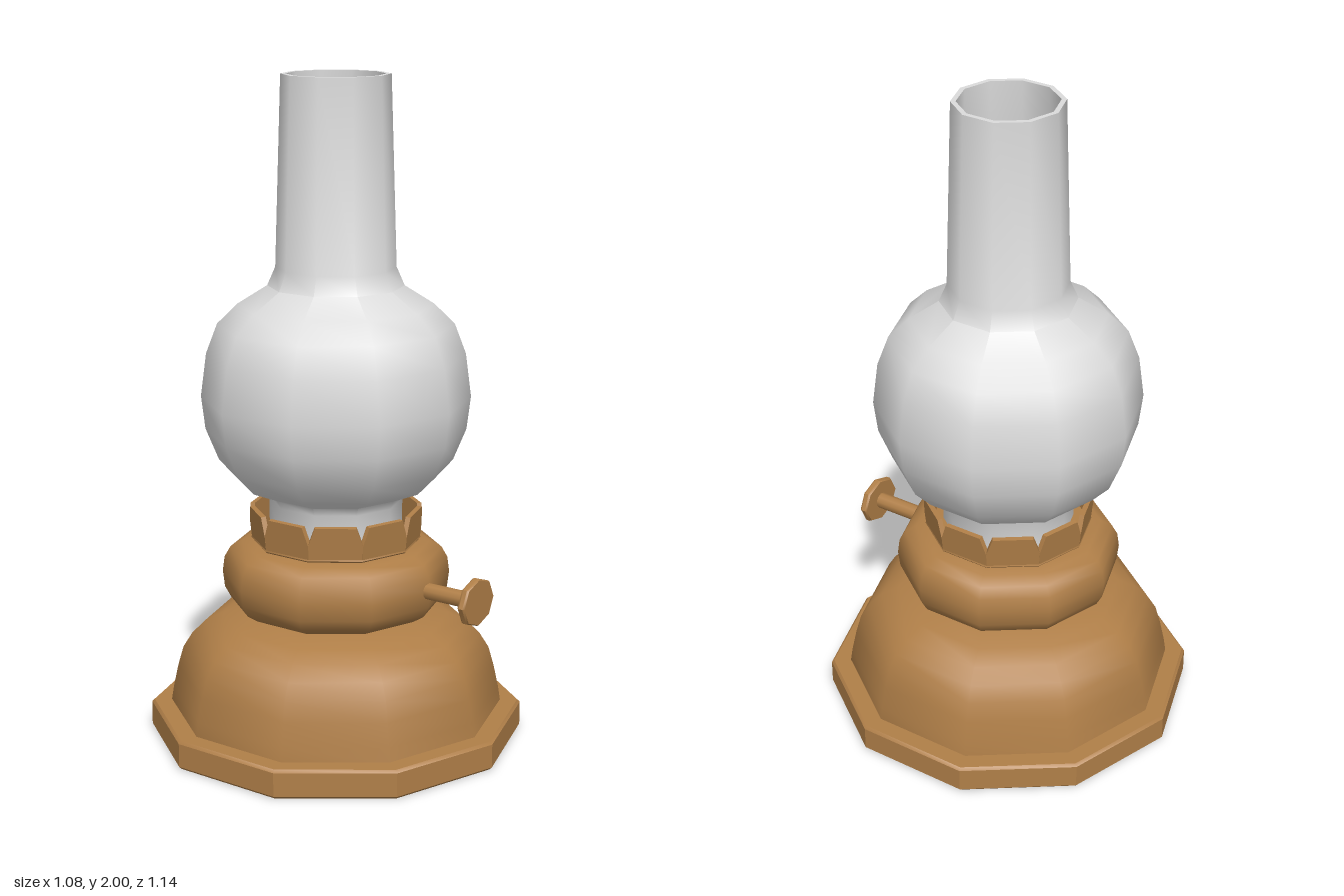
import * as THREE from 'three';
import { toCreasedNormals } from 'three/addons/utils/BufferGeometryUtils.js';

const SIDES = 10;

export function createModel() {
  const lamp = new THREE.Group();
  lamp.name = 'oilLamp';
  const brass = new THREE.MeshStandardMaterial({ color: 0xb07f48 });
  brass.name = 'brass';
  const glass = new THREE.MeshStandardMaterial({ color: 0xdcdcdc });
  glass.name = 'paleGlass';

  const add = (name, geometry, material, parent = lamp) => {
    const mesh = new THREE.Mesh(geometry, material);
    mesh.name = name;
    parent.add(mesh);
    return mesh;
  };

  // Ten-sided turned part from [radius, height] points, listed bottom to top
  const turned = (name, points, material, crease = 0.75) => {
    const profile = points.map(([r, y]) => new THREE.Vector2(r, y));
    return add(name, toCreasedNormals(new THREE.LatheGeometry(profile, SIDES), crease), material);
  };

  // Foot plate with small bevels and flat facets
  turned('footPlate', [
    [0, 0], [0.56, 0], [0.568, 0.008], [0.568, 0.08], [0.56, 0.088], [0, 0.088],
  ], brass, 0.5);

  // Domed base
  turned('domedBase', [
    [0.507, 0.085], [0.5, 0.13], [0.485, 0.2], [0.468, 0.26], [0.44, 0.305],
    [0.4, 0.345], [0.345, 0.372], [0.25, 0.393], [0, 0.4],
  ], brass);

  // Bulging fuel tank
  turned('fuelTank', [
    [0.24, 0.393], [0.285, 0.4], [0.32, 0.422], [0.338, 0.455], [0.344, 0.505],
    [0.338, 0.55], [0.32, 0.582], [0.285, 0.602], [0.24, 0.61], [0, 0.612],
  ], brass);

  // Burner ring and floor under the glass
  turned('burnerFloor', [
    [0.25, 0.605], [0.256, 0.612], [0.253, 0.622], [0, 0.628],
  ], brass);

  // Flared crown of ten prongs, notched at the corners
  const crown = new THREE.Group();
  crown.name = 'crown';
  lamp.add(crown);
  const prong = new THREE.Shape([
    [-0.078, 0], [0.078, 0], [0.08, 0.045], [0.061, 0.1], [-0.061, 0.1], [-0.08, 0.045],
  ].map(([x, y]) => new THREE.Vector2(x, y)));
  const prongGeometry = new THREE.ExtrudeGeometry(prong, { depth: 0.015, bevelEnabled: false });
  prongGeometry.translate(0, 0, -0.015);
  for (let i = 0; i < SIDES; i++) {
    const pivot = new THREE.Group();
    pivot.name = 'crownProngPivot';
    pivot.rotation.y = (i + 0.5) * Math.PI * 2 / SIDES;
    crown.add(pivot);
    const mesh = add('crownProng', prongGeometry, brass, pivot);
    mesh.position.set(0, 0.614, 0.242);
    mesh.rotation.x = 0.1;
  }

  // Hollow chimney: up the outside, over the rim and down the inside
  turned('glassChimney', [
    [0.2, 0.628], [0.2, 0.735], [0.212, 0.76], [0.296, 0.795], [0.351, 0.855],
    [0.39, 0.95], [0.402, 1.05], [0.385, 1.18], [0.351, 1.27], [0.29, 1.33],
    [0.202, 1.385], [0.178, 1.44], [0.16, 2],
    [0.145, 2], [0.162, 1.44], [0.19, 1.375], [0.28, 1.315], [0.337, 1.26],
    [0.37, 1.175], [0.386, 1.05], [0.375, 0.955], [0.338, 0.867], [0.288, 0.81],
    [0.2, 0.772], [0.185, 0.74], [0.185, 0.628],
  ], glass);

  // Wick adjuster on the front of the tank
  const stem = add('wickStem', new THREE.CylinderGeometry(0.025, 0.025, 0.19, 10), brass);
  stem.rotation.x = Math.PI / 2;
  stem.position.set(0, 0.507, 0.405);

  const knob = add('wickKnob', toCreasedNormals(new THREE.LatheGeometry([
    [0, -0.012], [0.078, -0.012], [0.082, -0.006], [0.082, 0.006], [0.078, 0.012], [0, 0.012],
  ].map(([r, y]) => new THREE.Vector2(r, y)), 8), 0.7), brass);
  knob.rotation.x = Math.PI / 2;
  knob.scale.z = 0.88;
  knob.position.set(0, 0.507, 0.502);

  return lamp;
}
